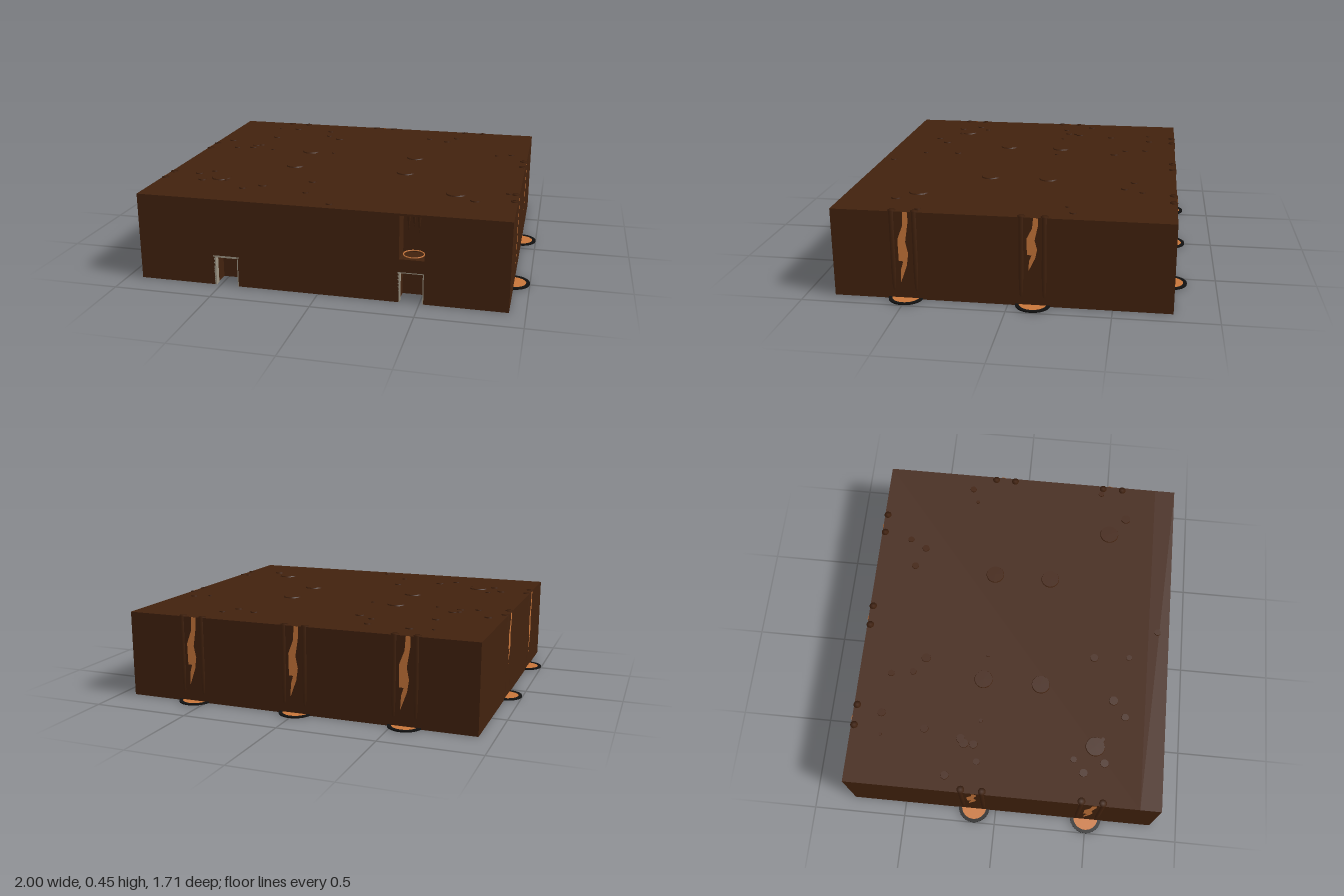
import * as THREE from 'three';

const material = (name, color, extra = {}) => {
  const m = new THREE.MeshStandardMaterial({ color, ...extra });
  m.name = name;
  return m;
};

export function createModel() {
  const model = new THREE.Group();
  model.name = 'caveRoom';
  const rock = material('rock brown', 0x42220e);
  const lava = material('lava orange', 0xc8763a, { side: THREE.DoubleSide });
  const char = material('charred black', 0x111111);
  const stone = material('pale frame stone', 0x9c9484);

  const add = (parent, name, geometry, mat, x = 0, y = 0, z = 0) => {
    const mesh = new THREE.Mesh(geometry, mat);
    mesh.name = name;
    mesh.position.set(x, y, z);
    parent.add(mesh);
    return mesh;
  };
  const box = (parent, name, w, h, d, mat, x, y, z) =>
    add(parent, name, new THREE.BoxGeometry(w, h, d), mat, x, y, z);
  const polygon = (points) => new THREE.Shape(points.map(([x, y]) => new THREE.Vector2(x, y)));

  // Main rock block, behind the front wall
  const H = 0.446, W = 0.922, FRONT = 0.855, BACK = -0.785, INNER = 0.745;
  box(model, 'rockBlock', W * 2, H, INNER - BACK, rock, 0, H / 2, (INNER + BACK) / 2);

  // Front wall with two doorways and a niche above one of them
  const wall = polygon([
    [-W, 0], [-0.525, 0], [-0.525, 0.15], [-0.405, 0.15], [-0.405, 0],
    [0.4, 0], [0.4, 0.155], [0.52, 0.155], [0.52, 0], [W, 0], [W, H], [-W, H],
  ]);
  wall.holes.push(polygon([[0.4, 0.22], [0.4, 0.436], [0.522, 0.436], [0.522, 0.22]]));
  add(model, 'frontWall', new THREE.ExtrudeGeometry(wall, {
    depth: FRONT - INNER, bevelEnabled: false,
  }), rock, 0, 0, INNER);
  for (const [x, top] of [[-0.465, 0.15], [0.46, 0.155]]) {
    const frame = new THREE.Group();
    frame.name = 'doorFrame';
    frame.position.set(x, 0, 0.84);
    for (const s of [-1, 1]) box(frame, 'doorPost', 0.01, top, 0.03, stone, s * 0.06, top / 2, 0);
    box(frame, 'doorLintel', 0.136, 0.01, 0.03, stone, 0, top, 0);
    model.add(frame);
  }

  // Glowing ring and hanging spikes inside the niche
  const ring = add(model, 'nicheRing', new THREE.TorusGeometry(0.05, 0.003, 6, 32), lava, 0.461, 0.228, 0.795);
  ring.rotation.x = Math.PI / 2;
  [[0.435, 0.09], [0.461, 0.07], [0.485, 0.1]].forEach(([x, h]) => {
    const spike = add(model, 'nicheSpike', new THREE.ConeGeometry(0.011, h, 8), rock, x, 0.436 - h / 2, 0.8);
    spike.rotation.x = Math.PI;
  });

  // Lava falls: stream plate, flanking columns and a rimmed pool
  const stream = new THREE.ShapeGeometry(polygon([
    [0.003, 0], [-0.002, -0.07], [-0.028, -0.14], [-0.026, -0.25], [-0.004, -0.25], [-0.016, -0.29],
    [-0.02, -0.36], [-0.012, -0.34], [0.013, -0.27], [0.022, -0.21], [0.01, -0.15], [0.026, -0.05], [0.026, 0],
  ]));
  const rimShape = new THREE.Shape().absarc(0, 0, 0.085, 0, Math.PI * 2, false);
  rimShape.holes.push(new THREE.Path().absarc(0, 0, 0.067, 0, Math.PI * 2, true));
  const rim = new THREE.ExtrudeGeometry(rimShape, { depth: 0.007, bevelEnabled: false, curveSegments: 32 });
  rim.rotateX(-Math.PI / 2);
  const pool = new THREE.CylinderGeometry(0.068, 0.068, 0.004, 32);
  const column = new THREE.LatheGeometry([
    [0, 0], [0.012, 0.005], [0.018, 0.06], [0.02, 0.15], [0.02, H + 0.002], [0, H + 0.002],
  ].map(([r, y]) => new THREE.Vector2(r, y)), 16);
  const lavaFall = (x, z, turn, inset, drop) => {
    const fall = new THREE.Group();
    fall.name = 'lavaFall';
    fall.position.set(x, 0, z);
    fall.rotation.y = turn;
    const flow = add(fall, 'lavaStream', stream, lava, 0, H, 0.003);
    flow.scale.y = drop;
    for (const s of [-1, 1]) add(fall, 'sideColumn', column, rock, s * 0.055, 0, -0.016);
    add(fall, 'poolRim', rim, char, 0, 0.001, -inset);
    add(fall, 'lavaPool', pool, lava, 0, 0.004, -inset);
    model.add(fall);
  };
  for (const s of [-1, 1]) {
    lavaFall(s * W, 0.5, s * Math.PI / 2, 0.007, 1);
    lavaFall(s * W, -0.12, s * Math.PI / 2, 0.007, 0.74);
  }
  for (const x of [-0.565, 0, 0.565]) lavaFall(x, BACK, Math.PI, 0.015, 1);

  // Roof studs: six large, many small
  const stud = (x, z, r) => add(model, 'roofStud',
    new THREE.CylinderGeometry(r * 0.94, r, 0.008, 24), rock, x, H + 0.002, z);
  for (const s of [-1, 1]) {
    stud(s * 0.307, -0.12, 0.05);
    stud(s * 0.307, 0.187, 0.05);
    stud(s * 0.616, 0.497, 0.052);
  }
  [
    [-0.54, -0.635, 0.022], [-0.655, -0.625, 0.009], [-0.32, -0.615, 0.018], [-0.3, -0.5, 0.018],
    [-0.217, -0.44, 0.025], [-0.605, -0.4, 0.022], [-0.84, -0.265, 0.022], [-0.665, -0.185, 0.024],
    [-0.64, -0.205, 0.024], [-0.665, -0.135, 0.022], [-0.755, -0.11, 0.018], [-0.535, -0.11, 0.011],
    [-0.17, -0.11, 0.011], [0.477, -0.615, 0.017], [0.318, -0.57, 0.02], [0.43, -0.525, 0.02],
    [0.83, -0.3, 0.018], [0.75, -0.265, 0.01], [-0.695, 0.39, 0.017], [-0.76, 0.445, 0.022],
    [-0.7, 0.55, 0.022], [-0.575, 0.535, 0.011], [-0.36, 0.577, 0.025], [-0.445, 0.643, 0.02],
    [-0.113, 0.647, 0.016], [-0.13, 0.46, 0.022], [0.048, 0.793, 0.018], [0.72, 0.585, 0.026],
    [0.87, 0.437, 0.016], [0.303, 0.197, 0.01],
  ].forEach(([x, z, r]) => stud(x, z, r));

  // Slanted charred slats under the floor near the back
  const slat = new THREE.ExtrudeGeometry(polygon([[-0.09, -0.09], [0.0, -0.09], [0.06, 0.09], [-0.03, 0.09]]), {
    depth: 0.002, bevelEnabled: false,
  });
  slat.rotateX(-Math.PI / 2);
  for (let i = 0; i < 6; i++) add(model, 'floorSlat', slat, char, -0.27 + i * 0.12, -0.001, -0.66);

  return model;
}
